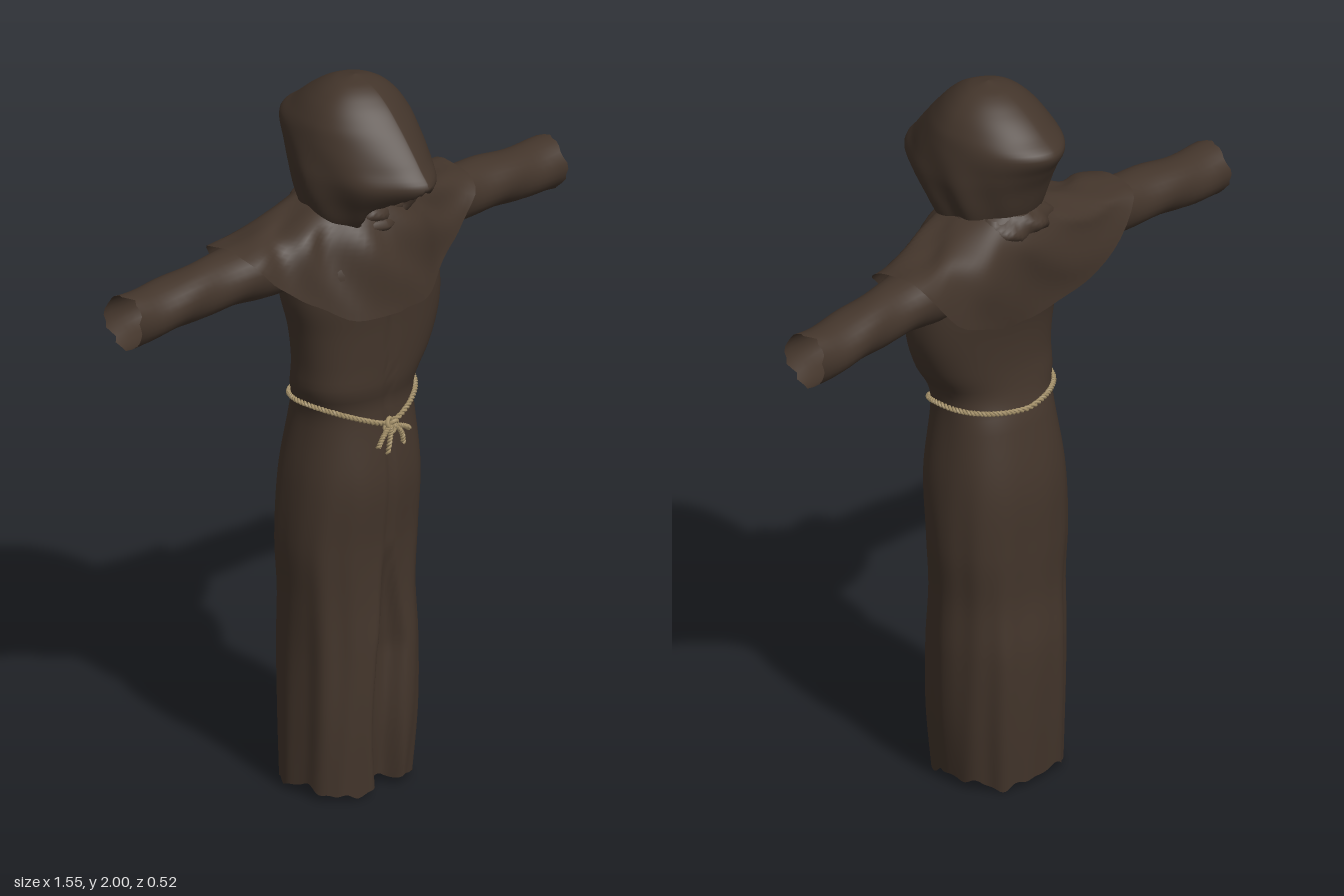
import * as THREE from 'three';

const { sin, cos, abs, sign, pow, max, min, PI } = Math;
const cloth = new THREE.MeshStandardMaterial({ color: 0x43352b, side: THREE.DoubleSide });
cloth.name = 'brown cloth';
const cord = new THREE.MeshStandardMaterial({ color: 0xa8946c });
cord.name = 'straw rope';

const clamp = v => max(0, min(1, v));
const sp = (v, e) => sign(v) * pow(abs(v), e);
// Irregular ragged edge
const rag = t => 0.5 * sin(4 * t + 1) + 0.35 * sin(9 * t + 2) + 0.2 * sin(17 * t);

// Smooth lookup in a table of rows [key, a, b, ...], sorted by key
function at(table, k) {
  let i = 0;
  while (i < table.length - 2 && k > table[i + 1][0]) i++;
  const p = table[i], q = table[i + 1];
  const o = table[max(i - 1, 0)], r = table[min(i + 2, table.length - 1)];
  const d = q[0] - p[0], s = clamp((k - p[0]) / d);
  return p.slice(1).map((a, c) => {
    const b = q[c + 1];
    const m0 = (b - o[c + 1]) / (q[0] - o[0]) * d;
    const m1 = (r[c + 1] - a) / (r[0] - p[0]) * d;
    const s2 = s * s, s3 = s2 * s;
    return (2 * s3 - 3 * s2 + 1) * a + (s3 - 2 * s2 + s) * m0 + (3 * s2 - 2 * s3) * b + (s3 - s2) * m1;
  });
}

// Closed rings f(u, t) joined into a skin
function skin(name, rows, n, f) {
  const pos = [], idx = [];
  for (let i = 0; i <= rows; i++)
    for (let j = 0; j < n; j++) pos.push(...f(i / rows, j / n * 2 * PI));
  for (let i = 0; i < rows; i++)
    for (let j = 0; j < n; j++) {
      const a = i * n + j, b = i * n + (j + 1) % n, c = b + n, d = a + n;
      idx.push(a, b, c, a, c, d);
    }
  const g = new THREE.BufferGeometry();
  g.setAttribute('position', new THREE.Float32BufferAttribute(pos, 3));
  g.setIndex(idx);
  g.computeVertexNormals();
  const mesh = new THREE.Mesh(g, cloth);
  mesh.name = name;
  return mesh;
}

// Robe: y, right x, left x, front z, back z
const robe = [
  [0.00, -0.195, 0.142, 0.112, -0.195], [0.20, -0.192, 0.165, 0.12, -0.21],
  [0.40, -0.188, 0.175, 0.115, -0.217], [0.55, -0.192, 0.175, 0.105, -0.207],
  [0.70, -0.202, 0.188, 0.105, -0.21], [0.88, -0.195, 0.185, 0.118, -0.208],
  [1.06, -0.175, 0.165, 0.10, -0.175], [1.11, -0.18, 0.163, 0.098, -0.158],
  [1.15, -0.195, 0.17, 0.108, -0.15], [1.22, -0.198, 0.215, 0.112, -0.145],
  [1.32, -0.21, 0.25, 0.116, -0.152], [1.42, -0.23, 0.25, 0.12, -0.17],
  [1.52, -0.22, 0.22, 0.11, -0.18], [1.60, -0.14, 0.14, 0.07, -0.16],
  [1.66, -0.09, 0.09, 0.04, -0.12],
];
function robePoint(t, y) {
  const [x0, x1, zf, zb] = at(robe, y);
  const low = clamp((1.0 - y) / 0.6), pleat = clamp((0.7 - y) / 0.3);
  const fold = 1 + low * (0.02 * cos(7 * t + 0.6 + 2 * y) + 0.015 * cos(12 * t + 2 - 3 * y));
  const x = (x0 + x1) / 2 + (x1 - x0) / 2 * sp(sin(t), 0.85) * fold;
  let z = (zf + zb) / 2 + (zf - zb) / 2 * sp(cos(t), 0.85) * fold;
  // Front overlap, widening into a wavy pleat towards the hem
  if (cos(t) > 0) {
    const w = 0.01 + 0.035 * pleat, mid = -0.005 - 0.012 * pleat * sin(9 * y);
    z -= (y > 1.05 ? 0.006 : 0.01 + 0.04 * pleat) * Math.exp(-pow((x - mid) / w, 4));
  }
  return [x, y, z];
}

// Hood: y, half width, front z, back z
const hood = [
  [1.56, 0.09, 0.05, -0.12], [1.62, 0.135, 0.14, -0.15], [1.68, 0.158, 0.19, -0.178],
  [1.75, 0.17, 0.26, -0.205], [1.80, 0.168, 0.228, -0.232], [1.86, 0.158, 0.18, -0.262],
  [1.90, 0.145, 0.145, -0.215], [1.95, 0.11, 0.095, -0.15], [1.985, 0.06, 0.04, -0.085],
  [2.00, 0, -0.02, -0.02],
];
function hoodPoint(u, t) {
  const y = 1.56 + 0.44 * sin(u * PI / 2);
  const [w, zf, zb] = at(hood, y);
  const c = cos(t);
  const ripple = 1 + 0.035 * sin(9 * t + 20 * y) * clamp((1.85 - y) / 0.15);
  const x = -0.008 + w * sp(sin(t), c > 0 ? 1.5 : 1.15) * ripple;
  let z = -0.02 + c * (c > 0 ? zf + 0.02 : -0.02 - zb);
  // Face opening under the peak, a smooth triangular hollow
  if (c > 0) {
    const span = 0.09 * clamp((1.75 - y) / 0.07);
    const open = clamp((span - abs(x + 0.008)) / 0.025) * clamp((y - 1.60) / 0.05);
    z -= open * max(0, z - 0.03);
  }
  return [x, y, z];
}

// Cape hem, half of it from front to back: angle step, x, y, z
const hem = [
  [0, 0, 1.365, 0.145], [1, 0.12, 1.38, 0.128], [2, 0.22, 1.425, 0.07], [3, 0.315, 1.49, 0.038],
  [4, 0.395, 1.56, 0.015], [5, 0.41, 1.60, -0.08], [6, 0.395, 1.575, -0.178],
  [7, 0.29, 1.46, -0.20], [8, 0.14, 1.385, -0.195], [9, 0, 1.365, -0.185],
];
// Cape middle line over the chest and shoulders
const yoke = [
  [0, 0, 1.55, 0.125], [1, 0.09, 1.56, 0.11], [2, 0.17, 1.58, 0.06], [3, 0.22, 1.605, 0.03],
  [4, 0.25, 1.617, -0.02], [5, 0.255, 1.622, -0.08], [6, 0.24, 1.615, -0.15],
  [7, 0.18, 1.59, -0.19], [8, 0.09, 1.57, -0.20], [9, 0, 1.57, -0.20],
];
function capePoint(u, t) {
  const s = sin(t) < -1e-9 ? -1 : 1;
  const k = (t > PI ? 2 * PI - t : t) / PI * 9;
  const a = at(hem, k), b = at(yoke, k);
  const c = [0.12 * sin(k / 9 * PI), 1.67, -0.05 + 0.12 * cos(k / 9 * PI)];
  const p = at([[0, ...a], [0.6, ...b], [1, ...c]], u);
  const wrinkle = 0.007 * sin(8 * t + 7 * u) * sin(u * PI);
  return [s * p[0], p[1] + 0.01 * rag(t) * (1 - u) + wrinkle, p[2] + wrinkle];
}

// Sleeve: x, centre y, centre z, half height, half depth
const sleeve = [
  [0.15, 1.52, -0.07, 0.08, 0.09], [0.30, 1.52, -0.085, 0.08, 0.095], [0.42, 1.515, -0.09, 0.073, 0.078],
  [0.55, 1.508, -0.095, 0.07, 0.075], [0.68, 1.497, -0.10, 0.068, 0.075], [0.77, 1.495, -0.10, 0.075, 0.07],
];
const sleevePoint = s => (u, t) => {
  const x = 0.15 + 0.615 * u, [cy, cz, h, d] = at(sleeve, x);
  const r = 1 + 0.03 * sin(3 * t + 30 * x);
  return [s * (x + 0.012 * u ** 8 * rag(t)), cy + h * cos(t) * r, cz + d * s * sin(t) * r];
};

// Two strands wound round a path
function rope(name, curve, turns, r, closed = false) {
  const group = new THREE.Group(), n = turns * 6;
  group.name = name;
  for (const phase of [0, PI]) {
    const pts = [];
    for (let i = 0; i < n + (closed ? 0 : 1); i++) {
      const a = i / n * turns * 2 * PI + phase, p = curve.getPoint(i / n);
      const tan = curve.getTangent(i / n);
      const side = new THREE.Vector3(0, 1, 0.3).cross(tan).normalize();
      const up = tan.clone().cross(side);
      pts.push(p.addScaledVector(side, r * cos(a)).addScaledVector(up, r * sin(a)));
    }
    const path = new THREE.CatmullRomCurve3(pts, closed);
    group.add(new THREE.Mesh(new THREE.TubeGeometry(path, n, r, 5, closed), cord));
  }
  return group;
}

export function createModel() {
  const model = new THREE.Group();
  model.name = 'hoodedRobe';

  model.add(skin('robe', 80, 128, (u, t) => {
    const p = robePoint(t, 0.022 + 1.638 * u);
    p[1] += 0.018 * rag(t) * (1 - u) ** 12;
    return p;
  }));
  model.add(skin('cape', 20, 80, capePoint));
  model.add(skin('hood', 60, 120, hoodPoint));
  model.add(skin('rightSleeve', 24, 28, sleevePoint(-1)));
  model.add(skin('leftSleeve', 24, 28, sleevePoint(1)));

  // Crumpled collar under the hood
  model.add(skin('collar', 10, 64, (u, t) => {
    const r = 0.125 + 0.03 * sin(u * PI) + 0.008 * sin(9 * t + 6 * u);
    return [r * sin(t), 1.59 + 0.08 * u + 0.008 * rag(t), -0.055 + r * 0.95 * cos(t)];
  }));

  // Rope belt, dipping to the knot at the front and a little at the back
  const loop = [];
  for (let i = 0; i < 40; i++) {
    const t = i / 40 * 2 * PI, dip = 1 - abs(sin(t));
    const [x, y, z] = robePoint(t, 1.115 - (cos(t) > 0 ? 0.07 : 0.02) * dip);
    loop.push(new THREE.Vector3(x * 1.025, y, z + 0.007 * cos(t)));
  }
  model.add(rope('belt', new THREE.CatmullRomCurve3(loop, true), 44, 0.0042, true));

  // Knot and hanging ends
  const knot = new THREE.Mesh(new THREE.TorusKnotGeometry(0.014, 0.006, 40, 6), cord);
  knot.name = 'beltKnot';
  knot.position.set(-0.005, 1.042, 0.112);
  model.add(knot);
  for (const [x, y] of [[-0.06, 0.995], [-0.025, 0.97], [0.03, 0.985], [0.05, 1.02]]) {
    const curve = new THREE.QuadraticBezierCurve3(
      new THREE.Vector3(-0.005, 1.042, 0.112), new THREE.Vector3(x * 0.8, 1.035, 0.13), new THREE.Vector3(x, y, 0.122));
    model.add(rope('beltEnd', curve, 5, 0.004));
  }
  return model;
}
